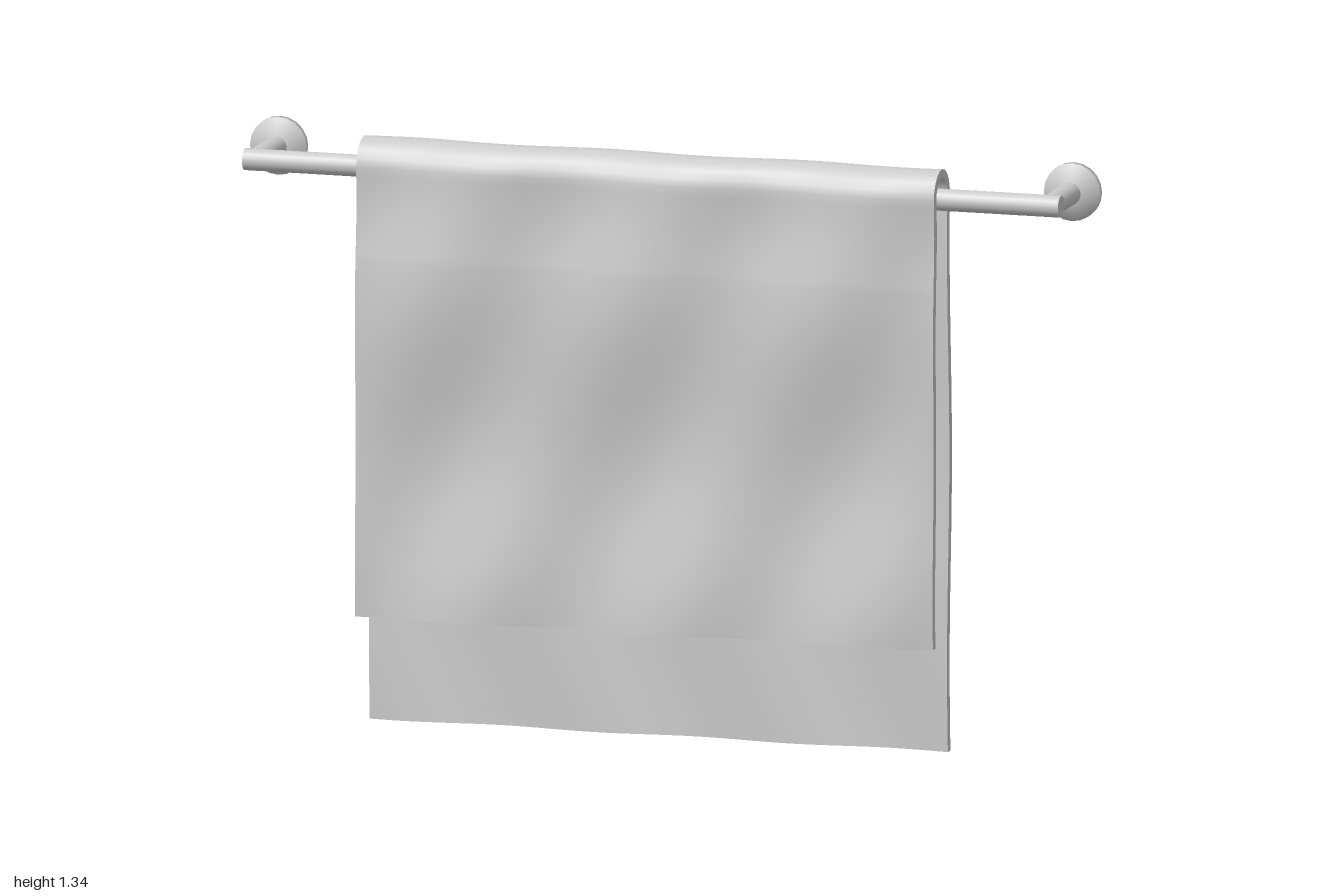
import * as THREE from 'three';
import { ParametricGeometry } from 'three/addons/geometries/ParametricGeometry.js';

const RAIL_Y = 1.275, RAIL_Z = 0.05;

// Towel: a strip draped over the rail, measured by the length run from the back hem
const HALF_W = 0.68, HALF_T = 0.01, FOLD_R = 0.057, FOLD_Y = 1.278, FRONT_HEM = 0.255;
const ARC = Math.PI * FOLD_R;
const LENGTH = FOLD_Y + ARC + FOLD_Y - FRONT_HEM;

// s: 0 back hem to 1 front hem, a: 0 to 1 across, t: 0 inner face to 1 outer face
function towelPoint(s, a, t, target) {
  const run = s * LENGTH;
  const x = (a * 2 - 1) * HALF_W;
  const r = FOLD_R + (t * 2 - 1) * HALF_T;
  let y, z;
  if (run < FOLD_Y) {
    y = run;
    z = RAIL_Z - r;
  } else if (run < FOLD_Y + ARC) {
    const angle = (run - FOLD_Y) / FOLD_R;
    y = FOLD_Y + r * Math.sin(angle);
    z = RAIL_Z - r * Math.cos(angle);
  } else {
    const drop = run - FOLD_Y - ARC;
    y = FOLD_Y - drop;
    // slow sway of the front panel, fading out at the fold
    z = RAIL_Z + r + 0.01 * Math.min(1, drop / 0.2) * Math.cos((y - 1.02) * 2 * Math.PI / 0.75);
  }
  // diagonal ripples
  z -= 0.009 * Math.cos(13.7 * (x - HALF_W) + 6.5 * (run - 0.68));
  target.set(x, y, z);
}

function createTowel(material) {
  const towel = new THREE.Group();
  towel.name = 'towel';
  const NS = 140, NA = 56;
  const faces = [
    ['towelOuterFace', (u, v, p) => towelPoint(u, v, 1, p), NS, NA],
    ['towelInnerFace', (u, v, p) => towelPoint(v, u, 0, p), NA, NS],
    ['towelLeftEdge', (u, v, p) => towelPoint(v, 1, u, p), 1, NS],
    ['towelRightEdge', (u, v, p) => towelPoint(u, 0, v, p), NS, 1],
    ['towelBackHem', (u, v, p) => towelPoint(0, v, u, p), 1, NA],
    ['towelFrontHem', (u, v, p) => towelPoint(1, u, v, p), NA, 1],
  ];
  for (const [name, surface, slices, stacks] of faces) {
    const mesh = new THREE.Mesh(new ParametricGeometry(surface, slices, stacks), material);
    mesh.name = name;
    towel.add(mesh);
  }
  return towel;
}

export function createModel() {
  const group = new THREE.Group();
  group.name = 'towelRail';
  const material = new THREE.MeshStandardMaterial({ color: 0xcccccc });

  // Horizontal rail
  const rail = new THREE.Mesh(new THREE.CylinderGeometry(0.025, 0.025, 1.92, 20), material);
  rail.name = 'rail';
  rail.rotation.z = Math.PI / 2;
  rail.position.set(0, RAIL_Y, RAIL_Z);
  group.add(rail);

  // Wall brackets: a post and a flared mounting plate at each end
  const postGeometry = new THREE.CylinderGeometry(0.026, 0.026, 0.155, 20).rotateX(Math.PI / 2);
  const plateProfile = [[0, -0.135], [0.066, -0.135], [0.066, -0.118], [0.028, -0.1], [0, -0.1]];
  const plateGeometry = new THREE.LatheGeometry(
    plateProfile.map(([r, y]) => new THREE.Vector2(r, y)), 20).rotateX(Math.PI / 2);
  for (const side of [-1, 1]) {
    const bracket = new THREE.Group();
    bracket.name = side > 0 ? 'leftBracket' : 'rightBracket';
    const post = new THREE.Mesh(postGeometry, material);
    post.name = 'post';
    post.position.z = -0.0275;
    const plate = new THREE.Mesh(plateGeometry, material);
    plate.name = 'wallPlate';
    bracket.add(post, plate);
    bracket.position.set(side * 0.934, RAIL_Y, 0);
    group.add(bracket);
  }

  group.add(createTowel(material));
  return group;
}
